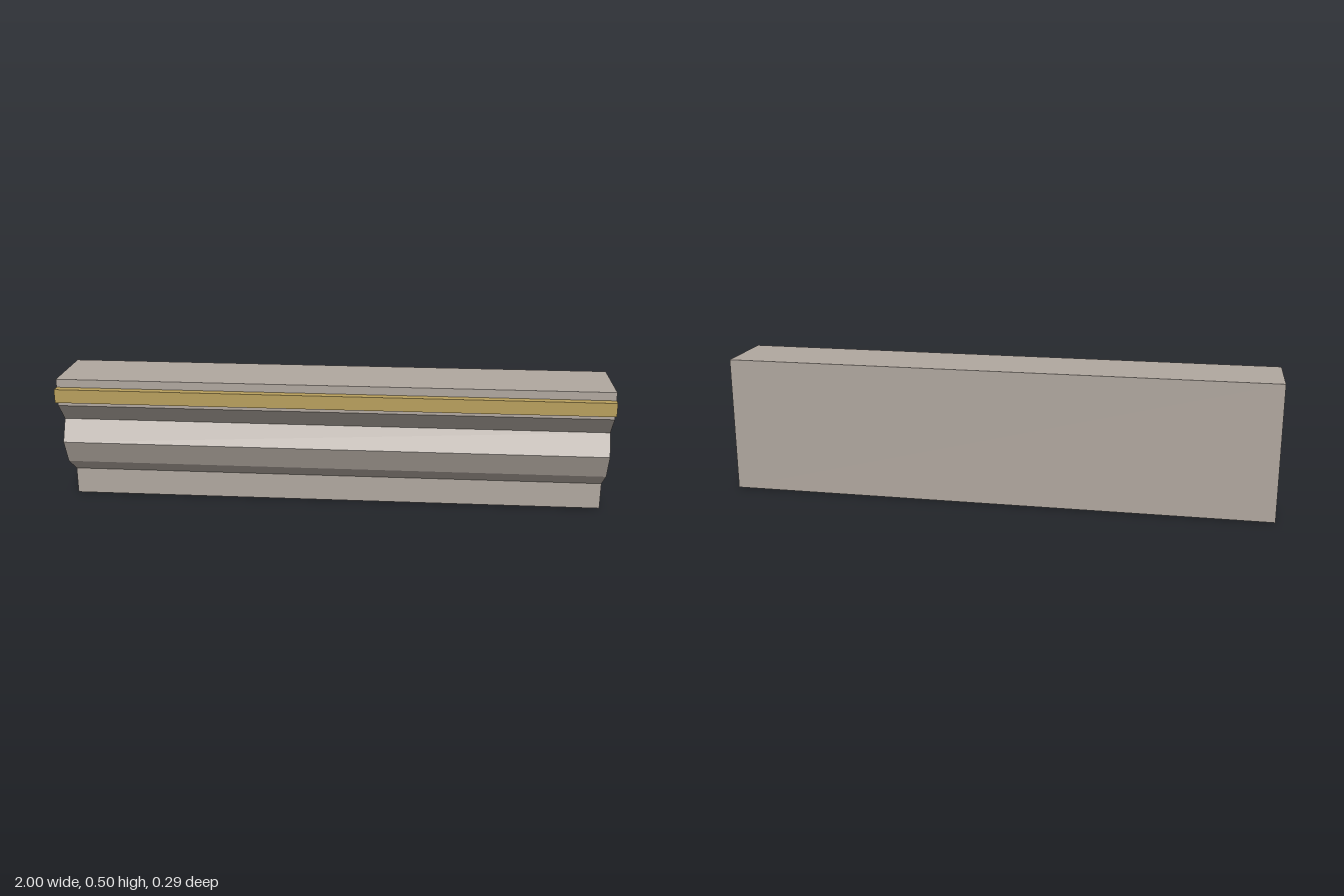
import * as THREE from 'three';

const LENGTH = 2;

export function createModel() {
  const stone = new THREE.MeshStandardMaterial({ color: 0xb0a79f });
  stone.name = 'warm grey stone';
  const gold = new THREE.MeshStandardMaterial({ color: 0xb89f5c });
  gold.name = 'dull gold';

  const group = new THREE.Group();
  group.name = 'cornice';

  // Moulding cross-section as [z, y], from the back foot up the front to the back top
  const profile = [
    [-0.145, 0], [-0.025, 0], [-0.025, 0.1], [0.055, 0.16], [0.095, 0.25],
    [0.055, 0.33], [0.115, 0.4], [0.115, 0.5], [-0.145, 0.5],
  ];
  // The quarter turn sends shape x to -z and the extrusion to +x
  const shape = new THREE.Shape(profile.map(([z, y]) => new THREE.Vector2(-z, y)));
  const bodyGeometry = new THREE.ExtrudeGeometry(shape, { depth: LENGTH, bevelEnabled: false });
  bodyGeometry.translate(0, 0, -LENGTH / 2);
  bodyGeometry.rotateY(Math.PI / 2);
  const body = new THREE.Mesh(bodyGeometry, stone);
  body.name = 'moulding';
  group.add(body);

  // Gilded strip along the upper fascia
  const strip = new THREE.Mesh(new THREE.BoxGeometry(LENGTH, 0.05, 0.03), gold);
  strip.name = 'gildedStrip';
  strip.position.set(0, 0.445, 0.13);
  group.add(strip);

  return group;
}
